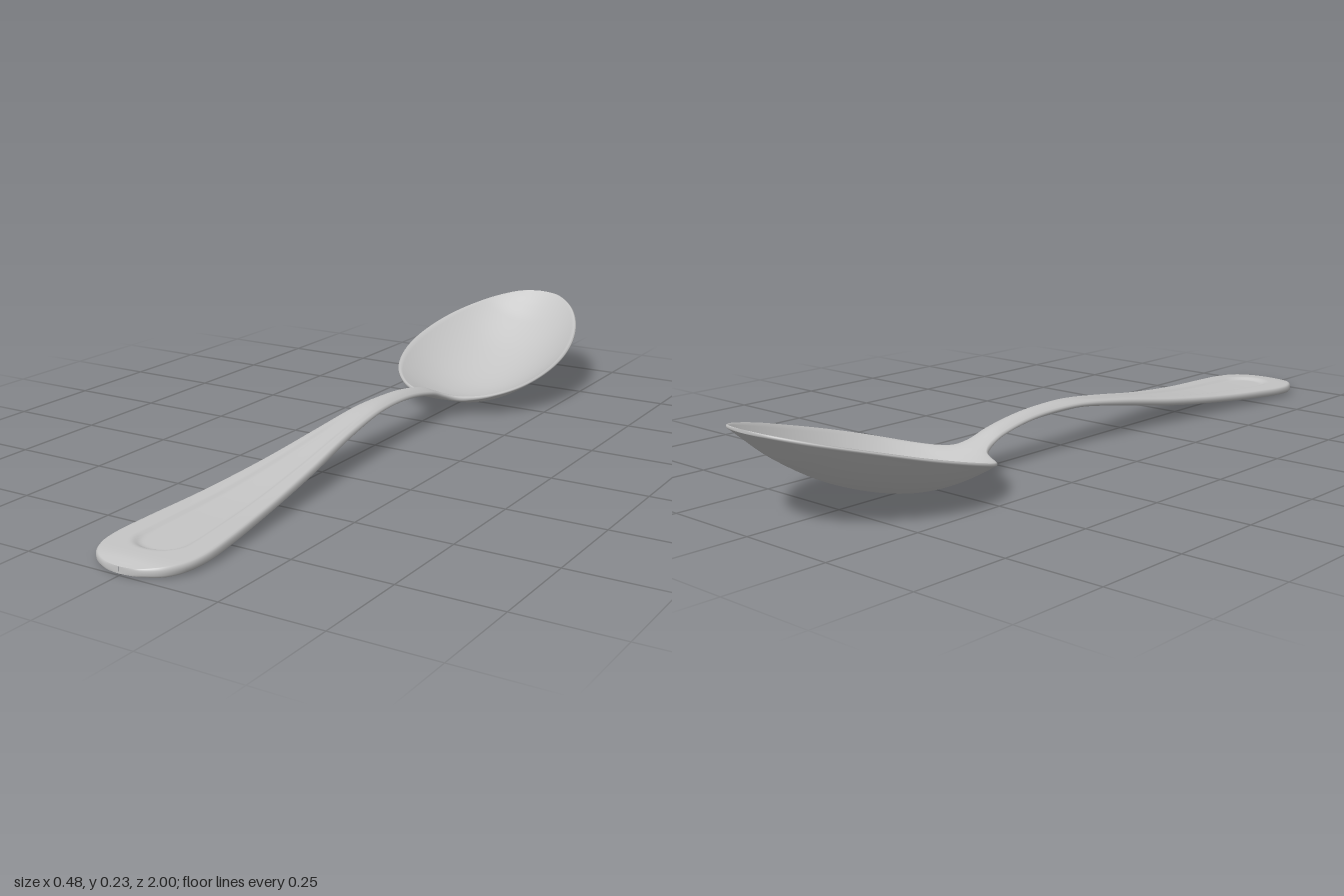
import * as THREE from 'three';

const ROWS = 320, ACROSS = 40, BOWL_END = -0.34;

// Half outline seen from above: [half width, z], bowl tip to handle end
const OUTLINE = [
  [0, -1], [0.035, -0.997], [0.068, -0.987], [0.105, -0.96], [0.15, -0.91], [0.2, -0.82],
  [0.231, -0.72], [0.24, -0.62], [0.227, -0.53], [0.196, -0.455], [0.145, -0.395],
  [0.09, -0.355], [0.055, -0.33], [0.039, -0.3], [0.033, -0.22], [0.032, -0.1], [0.036, 0],
  [0.05, 0.2], [0.073, 0.4], [0.1, 0.62], [0.118, 0.77], [0.125, 0.87], [0.116, 0.925],
  [0.09, 0.967], [0.05, 0.992], [0.025, 0.998], [0, 1],
];

// Heights along the length: [z, top edge, top centre, bottom edge, bottom centre]
const HEIGHTS = [
  [-1, 0.23, 0.23, 0.222, 0.222], [-0.95, 0.216, 0.188, 0.207, 0.178],
  [-0.9, 0.202, 0.15, 0.193, 0.138], [-0.8, 0.175, 0.09, 0.166, 0.078],
  [-0.7, 0.147, 0.048, 0.138, 0.036], [-0.6, 0.12, 0.02, 0.111, 0.008],
  [-0.52, 0.098, 0.012, 0.089, 0], [-0.45, 0.078, 0.019, 0.069, 0.007],
  [-0.4, 0.064, 0.032, 0.055, 0.022], [-0.365, 0.057, 0.048, 0.046, 0.033],
  [-0.34, 0.057, 0.06, 0.044, 0.041], [-0.31, 0.067, 0.073, 0.053, 0.053],
  [-0.25, 0.088, 0.096, 0.076, 0.074], [-0.15, 0.106, 0.114, 0.094, 0.093],
  [-0.05, 0.112, 0.12, 0.1, 0.099], [0.05, 0.11, 0.118, 0.098, 0.097],
  [0.2, 0.093, 0.1, 0.077, 0.076], [0.4, 0.065, 0.071, 0.046, 0.045],
  [0.6, 0.044, 0.048, 0.025, 0.025], [0.8, 0.031, 0.036, 0.01, 0.01],
  [0.9, 0.026, 0.032, 0.005, 0.005], [0.96, 0.024, 0.029, 0.002, 0.002],
  [1, 0.02, 0.02, 0.004, 0.004],
];

// Smooth interpolation of one height column at z
function heightAt(z, col) {
  const n = HEIGHTS.length;
  let i = 0;
  while (i < n - 2 && HEIGHTS[i + 1][0] < z) i++;
  const slope = (k) => {
    const a = HEIGHTS[Math.max(k - 1, 0)], b = HEIGHTS[Math.min(k + 1, n - 1)];
    return (b[col] - a[col]) / (b[0] - a[0]);
  };
  const p = HEIGHTS[i], q = HEIGHTS[i + 1], h = q[0] - p[0];
  const t = THREE.MathUtils.clamp((z - p[0]) / h, 0, 1), t2 = t * t, t3 = t2 * t;
  return (2 * t3 - 3 * t2 + 1) * p[col] + (t3 - 2 * t2 + t) * h * slope(i)
    + (3 * t2 - 2 * t3) * q[col] + (t3 - t2) * h * slope(i + 1);
}

// 0..1 mask of the pressed panel that runs along the handle with a round end
function panel(x, z, w) {
  const smooth = THREE.MathUtils.smoothstep;
  const inside = Math.min(0.52 * w, 0.064) - Math.hypot(x, Math.max(0, z - 0.85));
  return smooth(inside, -0.008, 0.012) * smooth(z, -0.05, 0.25);
}

// One closed cross-section: top left to right, edge, bottom right to left, edge
function section(w, z) {
  const [topEdge, topMid, lowEdge, lowMid] = [1, 2, 3, 4].map((c) => heightAt(z, c));
  const inner = w - Math.min(0.005, w * 0.35), t = topEdge - lowEdge;
  const ring = [];
  for (let j = 0; j <= ACROSS; j++) {
    const u = (2 * j) / ACROSS - 1, x = u * inner;
    ring.push([x, THREE.MathUtils.lerp(topMid, topEdge, u * u) - 0.008 * panel(x, z, w), z]);
  }
  ring.push([w, topEdge - 0.25 * t, z], [w, topEdge - 0.75 * t, z]);
  for (let j = ACROSS; j >= 0; j--) {
    const u = (2 * j) / ACROSS - 1, x = u * inner;
    ring.push([x, THREE.MathUtils.lerp(lowMid, lowEdge, u * u) - 0.004 * panel(x, z, w), z]);
  }
  ring.push([-w, topEdge - 0.75 * t, z], [-w, topEdge - 0.25 * t, z]);
  return ring;
}

export function createModel() {
  const group = new THREE.Group();
  group.name = 'spoon';
  const steel = new THREE.MeshStandardMaterial({ color: 0xc4c4c4 });
  steel.name = 'steel';

  const curve = new THREE.CatmullRomCurve3(OUTLINE.map(([w, z]) => new THREE.Vector3(w, 0, z)));
  curve.arcLengthDivisions = 1000;
  const rows = curve.getSpacedPoints(ROWS);
  const positions = [], bowl = [], handle = [];
  const size = 2 * (ACROSS + 1) + 4;
  rows.forEach((p, i) => {
    section(Math.max(p.x, 0.0005), p.z).forEach((v) => positions.push(...v));
    if (i === ROWS) return;
    const faces = p.z < BOWL_END ? bowl : handle;
    for (let j = 0; j < size; j++) {
      const a = i * size + j, b = i * size + ((j + 1) % size);
      faces.push(a, a + size, b, b, a + size, b + size);
    }
  });

  // Shared vertices keep the shading smooth where bowl and handle meet
  const whole = new THREE.BufferGeometry();
  whole.setAttribute('position', new THREE.Float32BufferAttribute(positions, 3));
  whole.setIndex([...bowl, ...handle]);
  whole.computeVertexNormals();

  for (const [name, faces] of [['bowl', bowl], ['handle', handle]]) {
    const geometry = new THREE.BufferGeometry();
    geometry.setAttribute('position', whole.attributes.position);
    geometry.setAttribute('normal', whole.attributes.normal);
    geometry.setIndex(faces);
    const mesh = new THREE.Mesh(geometry, steel);
    mesh.name = name;
    group.add(mesh);
  }
  return group;
}
